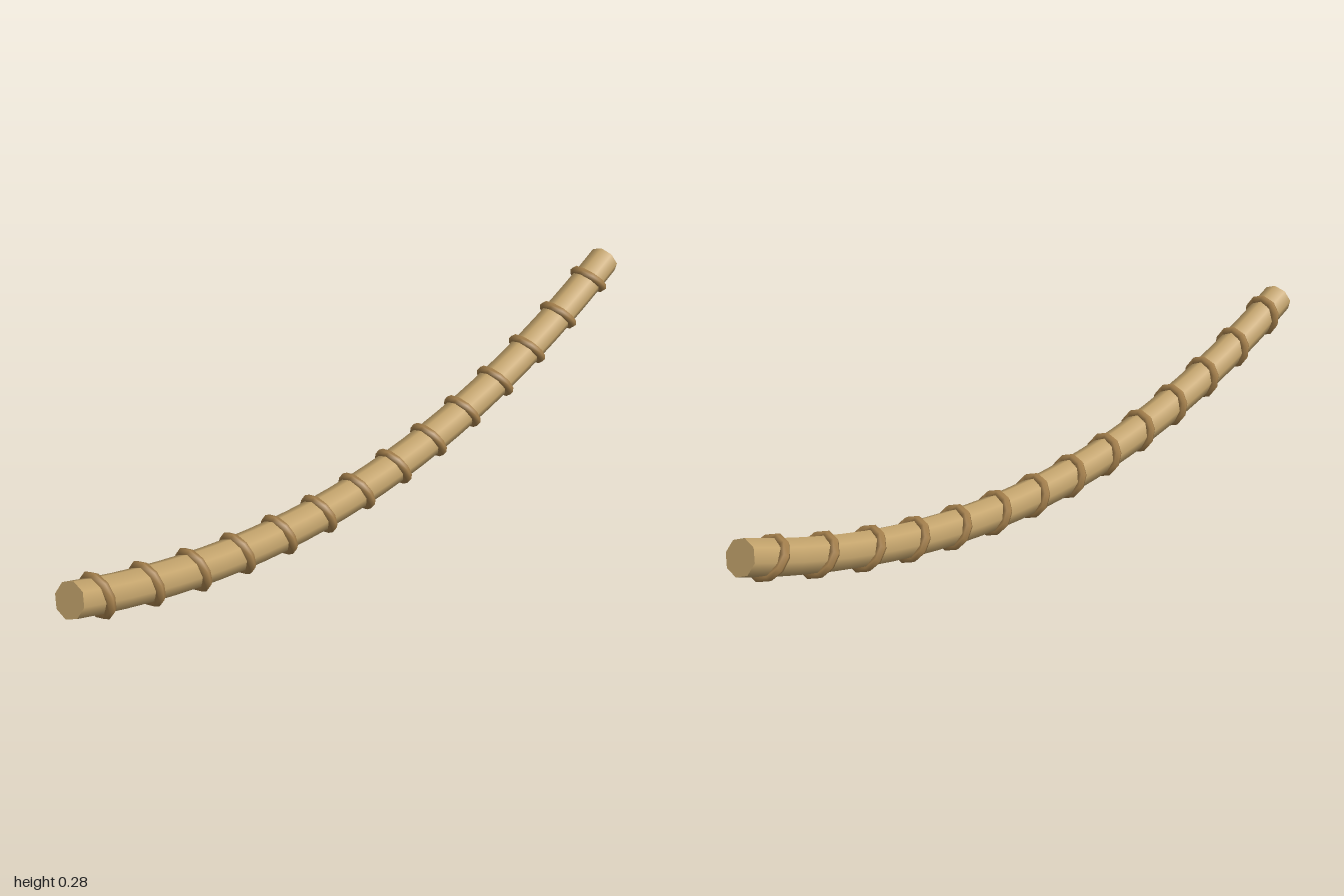
import * as THREE from 'three';

const END_Z = 0.985, LOW_Y = 0.05, END_Y = 0.247, RADIUS = 0.04;
const BEND = (END_Y - LOW_Y) / (END_Z * END_Z);
const heightAt = (z) => LOW_Y + BEND * z * z;
const pitchAt = (z) => -Math.atan(2 * BEND * z);

export function createModel() {
  const model = new THREE.Group();
  model.name = 'saggingRope';
  const ropeMat = new THREE.MeshStandardMaterial({ color: 0xc4a46c });
  ropeMat.name = 'tan rope';
  const bandMat = new THREE.MeshStandardMaterial({ color: 0xa5804c });
  bandMat.name = 'brown binding';

  const add = (geometry, material, name) => {
    const mesh = new THREE.Mesh(geometry, material);
    mesh.name = name;
    model.add(mesh);
    return mesh;
  };

  // Rope core, hanging in a shallow parabola
  const curve = new THREE.QuadraticBezierCurve3(
    new THREE.Vector3(0, END_Y, END_Z),
    new THREE.Vector3(0, 2 * LOW_Y - END_Y, 0),
    new THREE.Vector3(0, END_Y, -END_Z)
  );
  add(new THREE.TubeGeometry(curve, 28, RADIUS, 8, false), ropeMat, 'ropeCore');

  // Flat cut ends
  const capGeo = new THREE.CircleGeometry(RADIUS, 8);
  for (const [z, name] of [[END_Z, 'frontEnd'], [-END_Z, 'backEnd']]) {
    const cap = add(capGeo, ropeMat, name);
    cap.position.set(0, heightAt(z), z);
    cap.rotation.set(pitchAt(z), z > 0 ? 0 : Math.PI, 0);
  }

  // Slanted binding rings, evenly spaced
  const ringGeo = new THREE.TorusGeometry(0.043, 0.011, 6, 10);
  ringGeo.rotateZ(Math.PI / 2);
  const count = 14, first = 0.911;
  for (let i = 0; i < count; i++) {
    const z = first - (2 * first * i) / (count - 1);
    const ring = add(ringGeo, bandMat, 'bindingRing' + (i + 1));
    ring.position.set(0, heightAt(z), z);
    ring.rotation.set(pitchAt(z) + 0.4, -0.1, 0);
  }
  return model;
}
